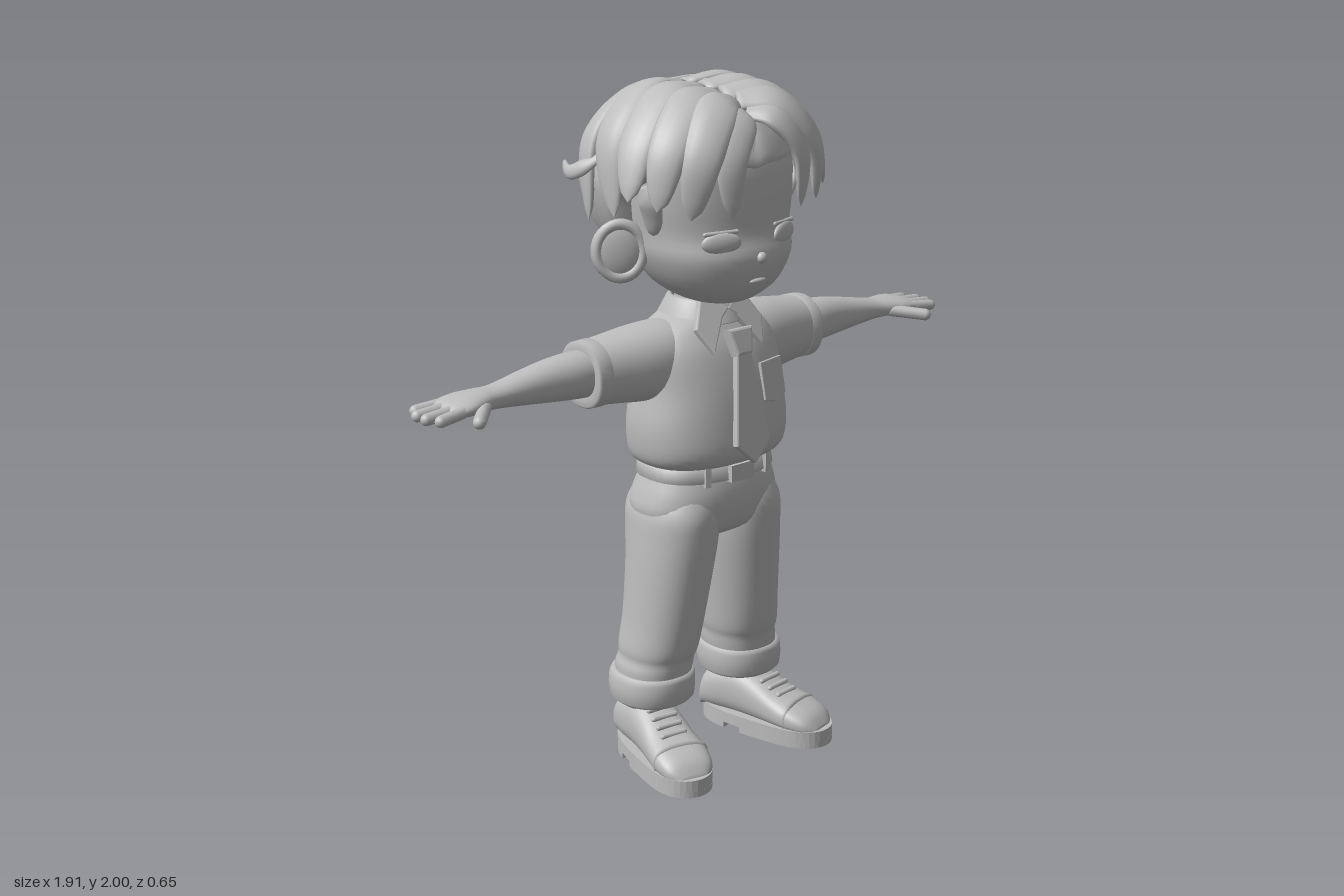
import * as THREE from 'three';
import { mergeVertices } from 'three/addons/utils/BufferGeometryUtils.js';

const V = (x, y, z) => new THREE.Vector3(x, y, z);

// Closed smooth skin over a list of rings (each ring is an array of Vector3)
function skin(rings) {
  const n = rings[0].length, pos = [], idx = [];
  rings.forEach(r => r.forEach(p => pos.push(p.x, p.y, p.z)));
  for (let i = 0; i < rings.length - 1; i++) for (let j = 0; j < n; j++) {
    const a = i * n + j, b = i * n + (j + 1) % n;
    idx.push(a, b, a + n, b, b + n, a + n);
  }
  [0, rings.length - 1].forEach((k, end) => {
    const c = rings[k].reduce((s, p) => s.add(p), V(0, 0, 0)).divideScalar(n);
    const ci = pos.length / 3;
    pos.push(c.x, c.y, c.z);
    for (let j = 0; j < n; j++) {
      const a = k * n + j, b = k * n + (j + 1) % n;
      end ? idx.push(ci, a, b) : idx.push(ci, b, a);
    }
  });
  const g = new THREE.BufferGeometry();
  g.setAttribute('position', new THREE.Float32BufferAttribute(pos, 3));
  g.setIndex(idx);
  g.computeVertexNormals();
  return g;
}

// Loft along an axis; station = [t, centreA, centreB, radiusA, radiusB]
function loft(axis, st, sub = 4, power = 2.2, seg = 40) {
  const rows = [];
  for (let i = 0; i < st.length - 1; i++) for (let s = 0; s < sub; s++) {
    const u = s / sub, q = [st[Math.max(i - 1, 0)], st[i], st[i + 1], st[Math.min(i + 2, st.length - 1)]];
    rows.push(st[i].map((_, k) => {
      const [a, b, c, d] = q.map(r => r[k]);
      return 0.5 * (2 * b + (c - a) * u + (2 * a - 5 * b + 4 * c - d) * u * u + (3 * b - a - 3 * c + d) * u ** 3);
    }));
  }
  rows.push(st[st.length - 1]);
  const e = v => Math.sign(v) * Math.abs(v) ** (2 / power);
  return skin(rows.map(([t, ca, cb, ra, rb]) => Array.from({ length: seg }, (_, j) => {
    const w = j / seg * Math.PI * 2, a = ca + ra * e(Math.cos(w)), b = rb * e(Math.sin(w));
    return axis === 'y' ? V(a, t, cb - b) : axis === 'x' ? V(t, a, cb + b) : V(a, cb + b, t);
  })));
}
// Upright loft given [y, halfWidth, frontZ, backZ]
const body = (rows, sub, power) => loft('y', rows.map(([y, rx, f, b]) => [y, 0, (f + b) / 2, rx, (f - b) / 2]), sub, power);

// Tapered hair lock lying on the head
function lock(pts, width, thick) {
  const curve = new THREE.CatmullRomCurve3(pts.map(p => V(...p))), rings = [];
  for (let i = 0; i <= 20; i++) {
    const t = i / 20, p = curve.getPoint(t), T = curve.getTangent(t);
    const N = p.clone().sub(V(0, 1.72, 0));
    N.addScaledVector(T, -N.dot(T)).normalize();
    const S = N.clone().cross(T);
    const k = Math.min(1, 0.55 + t * 1.2) * Math.sqrt(Math.max(0.0005, 1 - t ** 3.2));
    rings.push(Array.from({ length: 14 }, (_, j) => {
      const w = j / 14 * Math.PI * 2;
      return p.clone().addScaledVector(S, width * k * Math.cos(w)).addScaledVector(N, thick * k * Math.sin(w));
    }));
  }
  return skin(rings);
}

const ball = (x, y, z, rx, ry, rz, ay = 0) =>
  new THREE.SphereGeometry(1, 24, 16).scale(rx, ry, rz).rotateY(ay).translate(x, y, z);
const rod = (a, b, r) => {
  const d = V(...b).sub(V(...a)), g = new THREE.CapsuleGeometry(r, d.length(), 6, 12);
  g.applyQuaternion(new THREE.Quaternion().setFromUnitVectors(V(0, 1, 0), d.normalize()));
  return g.translate((a[0] + b[0]) / 2, (a[1] + b[1]) / 2, (a[2] + b[2]) / 2);
};
const plate = (pts, depth, bevel = 0.005) => new THREE.ExtrudeGeometry(
  new THREE.Shape(pts.map(p => new THREE.Vector2(...p))),
  { depth, bevelEnabled: bevel > 0, bevelSize: bevel, bevelThickness: bevel, bevelSegments: 2 });

function mirrored(geo) {
  const g = (geo.index ? geo.toNonIndexed() : geo.clone()).scale(-1, 1, 1);
  for (const name of Object.keys(g.attributes)) {
    const at = g.attributes[name], n = at.itemSize, a = at.array;
    for (let i = 0; i < at.count; i += 3) for (let k = 0; k < n; k++) {
      const p = (i + 1) * n + k, q = (i + 2) * n + k;
      [a[p], a[q]] = [a[q], a[p]];
    }
  }
  return g;
}

export function createModel() {
  const model = new THREE.Group();
  model.name = 'boy';
  const clay = new THREE.MeshStandardMaterial({ color: 0xbdbdbd });
  clay.name = 'clay grey';
  const add = (name, geo) => {
    const m = new THREE.Mesh(geo, clay);
    m.name = name;
    model.add(m);
  };
  const pair = (name, geo) => { add(name + 'Left', geo); add(name + 'Right', mirrored(geo)); };

  // Head and face
  add('head', body([[1.385, 0.04, 0.15, 0.04], [1.40, 0.10, 0.2, -0.02], [1.45, 0.175, 0.255, -0.09],
    [1.53, 0.222, 0.28, -0.14], [1.6, 0.232, 0.262, -0.16], [1.7, 0.245, 0.262, -0.16],
    [1.8, 0.24, 0.25, -0.15], [1.9, 0.17, 0.19, -0.1], [1.94, 0.06, 0.08, 0]], 4, 2.25));
  add('neck', new THREE.CylinderGeometry(0.075, 0.085, 0.16, 32).translate(0, 1.36, 0.03));
  add('nose', ball(0, 1.535, 0.28, 0.016, 0.016, 0.014));
  add('lips', ball(0, 1.468, 0.262, 0.03, 0.009, 0.012));
  pair('eyelid', ball(0.115, 1.585, 0.243, 0.058, 0.03, 0.014, 0.38));
  pair('lashLine', rod([0.07, 1.615, 0.255], [0.16, 1.612, 0.226], 0.006));
  pair('ear', ball(0.272, 1.545, -0.01, 0.075, 0.086, 0.03, 0.6));
  pair('earRim', new THREE.TorusGeometry(0.064, 0.014, 10, 32).scale(1, 1.17, 1).rotateY(0.6).translate(0.274, 1.547, 0.005));

  // Hair cap: centre parting, ridges down the back, cut away in front of the ears
  let cap = new THREE.SphereGeometry(1, 128, 56);
  cap.deleteAttribute('normal');
  cap.deleteAttribute('uv');
  cap = mergeVertices(cap);
  const p = cap.attributes.position;
  for (let i = 0; i < p.count; i++) {
    const x = p.getX(i), y = p.getY(i), z = p.getZ(i);
    const back = THREE.MathUtils.smoothstep(-z, -0.2, 0.4);
    const ridge = 1 + 0.05 * (Math.abs(Math.sin(9 * Math.atan2(x, -z))) - 0.6) * back * Math.hypot(x, z);
    const front = z > 0 ? 1 - 0.75 * THREE.MathUtils.smoothstep(-y, -0.25, 0.15) : 1;
    const groove = y > 0 ? 0.04 * y * Math.exp(-((x / 0.09) ** 2)) : 0;
    p.setXYZ(i, x * 0.305 * ridge * (y < 0 ? 1 + 0.12 * y : 1),
      1.73 + y * (y > 0 ? 0.262 : 0.315) - groove, z * 0.298 * ridge * front - 0.03);
  }
  cap.computeVertexNormals();
  add('hairCap', cap);
  [
    [[[0.012, 1.925, 0.2], [0.06, 1.915, 0.255], [0.125, 1.82, 0.295], [0.125, 1.665, 0.3]], 0.052, 0.02],
    [[[0.012, 1.95, 0.16], [0.1, 1.945, 0.215], [0.2, 1.83, 0.262], [0.23, 1.665, 0.25]], 0.064, 0.026],
    [[[0.012, 1.96, 0.1], [0.13, 1.958, 0.145], [0.255, 1.85, 0.19], [0.305, 1.69, 0.2]], 0.066, 0.028],
    [[[0.012, 1.97, 0.02], [0.14, 1.97, 0.05], [0.275, 1.86, 0.09], [0.34, 1.71, 0.12]], 0.068, 0.028],
    [[[0.012, 1.97, -0.06], [0.14, 1.97, -0.05], [0.28, 1.86, -0.02], [0.315, 1.65, 0.03]], 0.068, 0.027],
    [[[0.012, 1.955, -0.15], [0.13, 1.94, -0.14], [0.265, 1.84, -0.13], [0.3, 1.62, -0.1]], 0.07, 0.024],
    [[[0.27, 1.74, 0.1], [0.262, 1.7, 0.115], [0.246, 1.65, 0.11], [0.236, 1.6, 0.1]], 0.035, 0.016],
    [[[0.29, 1.8, -0.06], [0.315, 1.77, -0.1], [0.325, 1.75, -0.15], [0.3, 1.77, -0.21]], 0.024, 0.014],
  ].forEach(([pts, w, h], i) => pair('hairLock' + (i + 1), lock(pts, w, h)));

  // Shirt
  add('shirt', body([[0.915, 0.185, 0.17, -0.09], [0.93, 0.222, 0.208, -0.118], [0.97, 0.24, 0.232, -0.13],
    [1.05, 0.245, 0.228, -0.125], [1.15, 0.23, 0.212, -0.115], [1.25, 0.225, 0.183, -0.1],
    [1.31, 0.19, 0.15, -0.08], [1.345, 0.12, 0.125, -0.065], [1.36, 0.07, 0.09, -0.03]], 4, 2.4));
  pair('sleeve', loft('x', [[0.08, 1.25, 0.03, 0.08, 0.08], [0.15, 1.232, 0.027, 0.105, 0.105], [0.23, 1.225, 0.02, 0.108, 0.108],
    [0.32, 1.223, 0.012, 0.098, 0.098], [0.39, 1.221, 0.006, 0.09, 0.09], [0.415, 1.22, 0.005, 0.088, 0.088]]));
  pair('sleeveHem', loft('x', [[0.375, 1.221, 0.006, 0.085, 0.085], [0.378, 1.221, 0.006, 0.095, 0.095],
    [0.415, 1.22, 0.005, 0.094, 0.094], [0.422, 1.22, 0.005, 0.088, 0.088], [0.42, 1.22, 0.005, 0.07, 0.07]], 1));
  add('collar', new THREE.LatheGeometry([[0.125, 1.325], [0.13, 1.33], [0.1, 1.388], [0.092, 1.394], [0.083, 1.388], [0.095, 1.33], [0.125, 1.325]]
    .map(a => new THREE.Vector2(...a)), 40).translate(0, 0, 0.03));
  pair('collarWing', plate([[0.006, 0.055], [0.03, 0.035], [0.085, -0.06], [0.118, 0.01], [0.075, 0.105]], 0.012)
    .rotateX(-0.5).rotateY(0.12).translate(0, 1.31, 0.155));
  add('pocket', plate([[-0.048, 0.055], [-0.048, -0.05], [0, -0.065], [0.048, -0.05], [0.048, 0.055]], 0.006, 0.002)
    .rotateX(-0.18).rotateY(0.22).translate(0.118, 1.15, 0.196));

  // Tie
  add('tieBlade', plate([[-0.02, 0.14], [-0.058, -0.13], [0, -0.185], [0.058, -0.13], [0.02, 0.14]], 0.012)
    .rotateX(-0.17).translate(0, 1.125, 0.217));
  add('tieKnot', plate([[-0.036, 0.032], [-0.022, -0.03], [0.022, -0.03], [0.036, 0.032]], 0.022, 0.008)
    .rotateX(-0.3).translate(0, 1.275, 0.18));

  // Arms and hands
  pair('arm', loft('x', [[0.37, 1.222, 0.005, 0.066, 0.066], [0.45, 1.225, 0.004, 0.065, 0.065], [0.53, 1.224, 0, 0.058, 0.058],
    [0.62, 1.22, -0.002, 0.045, 0.05], [0.71, 1.216, 0, 0.032, 0.043], [0.76, 1.216, 0, 0.03, 0.053],
    [0.81, 1.214, -0.002, 0.027, 0.069], [0.855, 1.21, -0.003, 0.02, 0.068], [0.875, 1.207, -0.003, 0.009, 0.058]]));
  [[-0.053, 0.915, -0.064], [-0.018, 0.937, -0.022], [0.018, 0.937, 0.02], [0.05, 0.918, 0.058]].forEach(([z, tip, z2], i) =>
    pair('finger' + (i + 1), rod([0.845, 1.21, z], [tip, 1.203, z2], 0.0165)));
  pair('thumb', rod([0.765, 1.208, 0.04], [0.837, 1.197, 0.115], 0.018));

  // Trousers, belt and cuffs
  add('hips', body([[0.68, 0.1, 0.1, -0.03], [0.72, 0.2, 0.17, -0.095], [0.78, 0.23, 0.193, -0.122], [0.83, 0.222, 0.197, -0.118],
    [0.88, 0.203, 0.188, -0.104], [0.92, 0.19, 0.17, -0.095]], 4, 2.4));
  pair('trouserLeg', loft('y', [[0.22, 0.17, 0.006, 0.1, 0.105], [0.29, 0.166, 0.007, 0.108, 0.115], [0.325, 0.16, 0.013, 0.105, 0.114],
    [0.36, 0.156, 0.018, 0.11, 0.121], [0.45, 0.145, 0.028, 0.11, 0.126], [0.6, 0.13, 0.037, 0.115, 0.137],
    [0.7, 0.121, 0.038, 0.117, 0.149], [0.78, 0.117, 0.037, 0.112, 0.154], [0.85, 0.105, 0.037, 0.09, 0.13]]));
  pair('cuff', loft('y', [[0.192, 0.172, 0.005, 0.09, 0.095], [0.19, 0.172, 0.005, 0.11, 0.113], [0.2, 0.172, 0.005, 0.12, 0.122],
    [0.235, 0.172, 0.005, 0.123, 0.126], [0.265, 0.171, 0.005, 0.122, 0.124], [0.28, 0.17, 0.005, 0.115, 0.118], [0.278, 0.17, 0.005, 0.1, 0.1]], 1));
  add('belt', body([[0.878, 0.19, 0.18, -0.095], [0.88, 0.21, 0.198, -0.113], [0.92, 0.204, 0.193, -0.11], [0.923, 0.185, 0.17, -0.09]], 1, 2.4));
  add('buckle', new THREE.BoxGeometry(0.085, 0.05, 0.02).translate(0, 0.9, 0.2));
  pair('beltLoop', new THREE.BoxGeometry(0.018, 0.06, 0.016).rotateY(0.3).translate(0.11, 0.9, 0.182));
  pair('beltLoopBack', new THREE.BoxGeometry(0.018, 0.06, 0.016).rotateY(-0.3).translate(0.11, 0.9, -0.1));

  // Shoes, built straight and then turned outwards
  const place = g => g.rotateY(0.24).translate(0.183, 0, 0);
  const upper = [[-0.115, 0.06, 0.05, 0.03], [-0.1, 0.15, 0.068, 0.03], [-0.05, 0.185, 0.076, 0.03], [0.02, 0.195, 0.075, 0.03],
    [0.09, 0.172, 0.077, 0.03], [0.16, 0.138, 0.082, 0.03], [0.22, 0.118, 0.085, 0.03], [0.275, 0.092, 0.072, 0.03], [0.305, 0.055, 0.04, 0.03]];
  pair('shoeUpper', place(loft('z', upper.map(([z, top, w, low]) => [z, 0, (top + low) / 2, w, (top - low) / 2]), 4, 2.5)));
  const sole = (z0, z1, y, h) => {
    const pts = [], half = z => 0.092 * Math.max(0, 1 - Math.abs((z - 0.1) / 0.222) ** 4) ** 0.5 * (z < 0.08 ? 0.9 + 0.1 * Math.max(0, (z + 0.1) / 0.18) : 1);
    for (let i = 0; i <= 24; i++) {
      const z = z0 + (z1 - z0) * (0.5 - 0.5 * Math.cos(Math.PI * i / 24));
      pts.push([half(z), -z]);
    }
    const outline = [...pts, ...pts.slice().reverse().map(([x, z]) => [-x, z])];
    return place(plate(outline, h, 0).rotateX(-Math.PI / 2).translate(0, y, 0));
  };
  pair('soleWelt', sole(-0.122, 0.322, 0.018, 0.035));
  pair('heelPad', sole(-0.122, 0.0, 0, 0.019));
  pair('frontPad', sole(0.06, 0.322, 0, 0.019));
  pair('shoeOpening', place(new THREE.TorusGeometry(0.068, 0.014, 10, 32).rotateX(Math.PI / 2 + 0.08).translate(0, 0.182, -0.015)));
  pair('toeCapSeam', place(loft('z', [[0.205, 0, 0.076, 0.08, 0.046], [0.213, 0, 0.076, 0.089, 0.05], [0.222, 0, 0.075, 0.08, 0.043]], 1, 2.5)));
  [0.075, 0.105, 0.135, 0.165].forEach((z, i) => {
    const y = 0.184 - (z - 0.075) * 0.5;
    pair('lace' + (i + 1), place(rod([-0.036, y - 0.006, z], [0.036, y - 0.006, z + 0.008], 0.008)));
  });

  return model;
}
